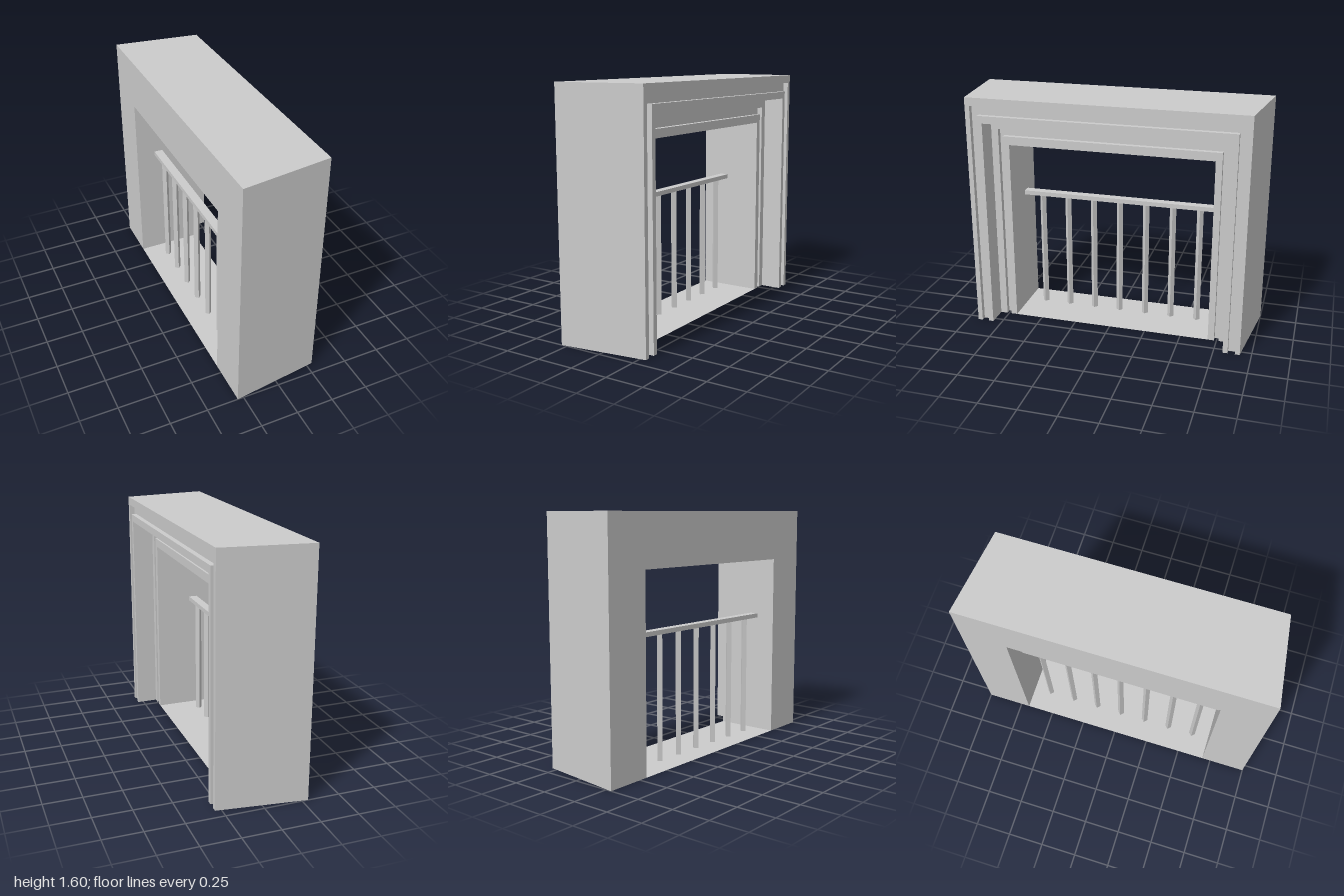
import * as THREE from 'three';

const mat = new THREE.MeshStandardMaterial({ color: 0xcccccc, flatShading: true });
const thinMat = new THREE.MeshStandardMaterial({ color: 0xcccccc, flatShading: true, side: THREE.DoubleSide });

const BACK = -0.29, FRONT = 0.29, STEP = 0.146, GROOVE = 0.035;

// Moulding cross-section: [x, half width in z, height], outside to inside
const profile = [
  [BACK, 1, 1.6], [FRONT, 0.925, 1.6],
  // outer architrave with a groove
  [FRONT, 0.893, 1.545], [FRONT - GROOVE, 0.893, 1.545],
  [FRONT - GROOVE, 0.845, 1.483], [FRONT, 0.845, 1.483],
  [FRONT, 0.812, 1.434],
  // deep step to the inner architrave, again grooved
  [STEP, 0.812, 1.434], [STEP, 0.764, 1.366],
  [STEP - GROOVE, 0.764, 1.366], [STEP - GROOVE, 0.733, 1.317],
  [STEP, 0.733, 1.317], [STEP, 0.69, 1.26],
  [BACK, 0.69, 1.26],
];

// Sweeps the cross-section up one jamb, across the head and down the other jamb
function portalGeometry() {
  const pos = [];
  const tri = (...v) => v.forEach((p) => pos.push(...p));
  const path = ([x, z, y]) => [[x, 0, z], [x, y, z], [x, y, -z], [x, 0, -z]];
  profile.forEach((p, i) => {
    const a = path(p), b = path(profile[(i + 1) % profile.length]);
    for (let k = 0; k < 3; k++) {
      tri(a[k], b[k], b[k + 1]);
      tri(a[k], b[k + 1], a[k + 1]);
    }
  });
  // undersides of both jambs
  const outline = profile.map(([x, z]) => new THREE.Vector2(x, z));
  for (const face of THREE.ShapeUtils.triangulateShape(outline, [])) {
    const t = face.map((i) => outline[i]);
    if (THREE.ShapeUtils.area(t) < 0) t.reverse();
    tri(...t.map((p) => [p.x, 0, p.y]));
    tri(...t.reverse().map((p) => [p.x, 0, -p.y]));
  }
  const g = new THREE.BufferGeometry();
  g.setAttribute('position', new THREE.Float32BufferAttribute(pos, 3));
  g.computeVertexNormals();
  return g;
}

export function createModel() {
  const model = new THREE.Group();
  model.name = 'windowPortal';
  const add = (name, geometry, x, y, z, material = mat) => {
    const m = new THREE.Mesh(geometry, material);
    m.name = name;
    m.position.set(x, y, z);
    model.add(m);
    return m;
  };

  add('portalFrame', portalGeometry(), 0, 0, 0);

  // Thin floor across the opening
  const floor = new THREE.PlaneGeometry(STEP - BACK, 1.38).rotateX(-Math.PI / 2);
  add('floor', floor, (STEP + BACK) / 2, 0, 0, thinMat);

  // Railing: flat handrail on square balusters set cornerwise
  const railX = -0.127;
  add('handrail', new THREE.BoxGeometry(0.06, 0.03, 1.38), railX, 0.845, 0);
  const baluster = new THREE.CylinderGeometry(0.0225, 0.0225, 0.83, 4);
  for (let i = -3; i <= 3; i++) add('baluster', baluster, railX, 0.415, i * 0.188);

  return model;
}
